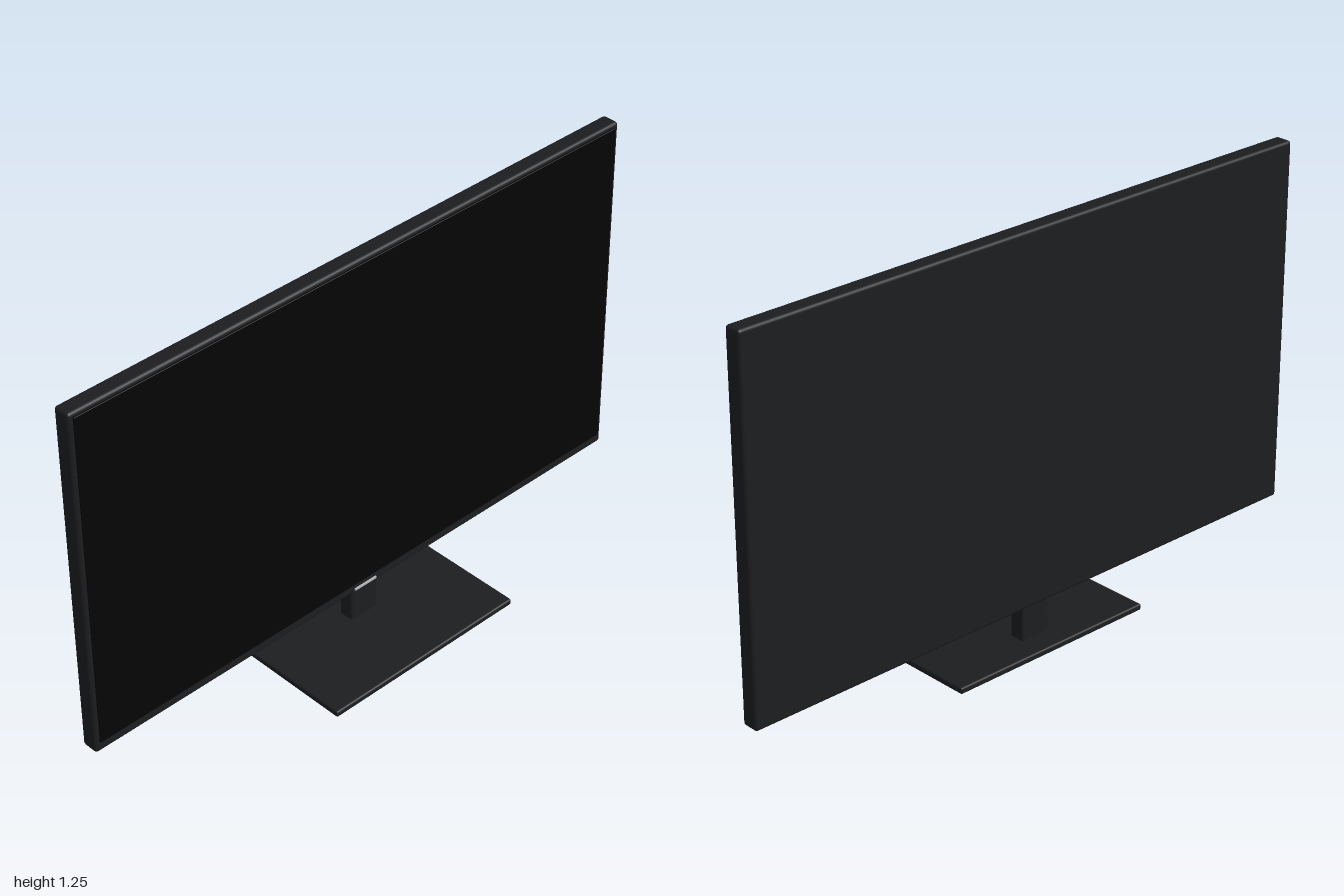
import * as THREE from 'three';
import { RoundedBoxGeometry } from 'three/addons/geometries/RoundedBoxGeometry.js';

const paint = (color) => new THREE.MeshStandardMaterial({ color });

// Rounded box given by its minimum and maximum corners
function roundedPart(name, min, max, radius, material) {
  const size = max.map((v, i) => v - min[i]);
  const mesh = new THREE.Mesh(new RoundedBoxGeometry(...size, 3, radius), material);
  mesh.position.set(...max.map((v, i) => (v + min[i]) / 2));
  mesh.name = name;
  return mesh;
}

export function createModel() {
  const model = new THREE.Group();
  model.name = 'television';
  const plastic = paint(0x1c1d1f);
  const glass = paint(0x050506);
  const metal = paint(0xaaaaaa);

  // Panel: housing, slightly raised screen and a plain trim strip below it
  const panel = new THREE.Group();
  panel.name = 'panel';
  panel.add(
    roundedPart('housing', [-1, 0.12, -0.118], [1, 1.253, -0.062], 0.01, plastic),
    roundedPart('screen', [-0.985, 0.155, -0.075], [0.985, 1.24, -0.057], 0.002, glass),
    roundedPart('trimStrip', [-0.042, 0.13, -0.066], [0.042, 0.138, -0.057], 0.002, metal),
  );

  // Stand: short neck on a flat foot plate
  const stand = new THREE.Group();
  stand.name = 'stand';
  stand.add(
    roundedPart('neck', [-0.05, 0.01, -0.115], [0.05, 0.135, -0.066], 0.006, plastic),
    roundedPart('base', [-0.35, 0, -0.19], [0.35, 0.02, 0.19], 0.006, plastic),
  );

  model.add(panel, stand);
  return model;
}
